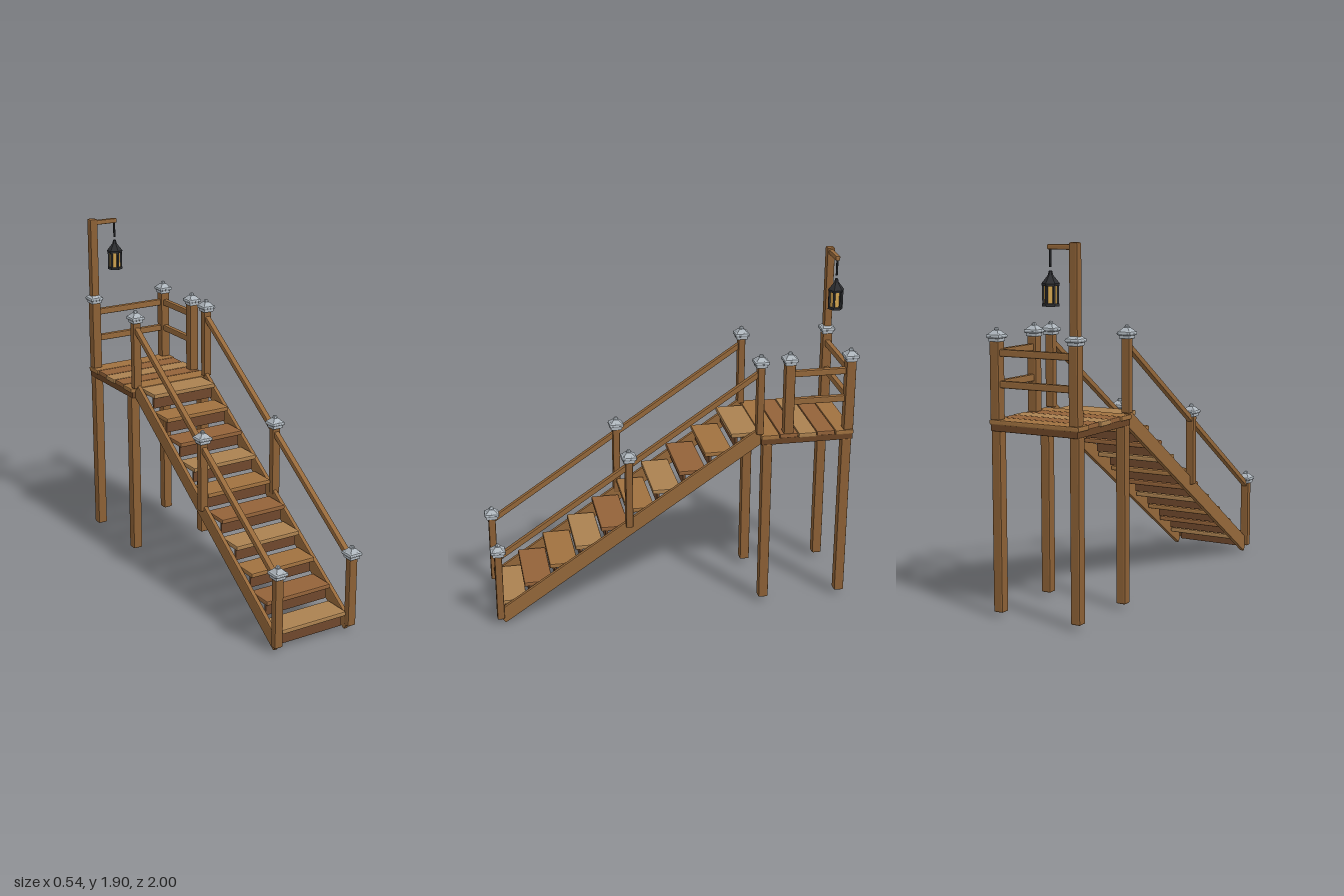
import * as THREE from 'three';
import { RoundedBoxGeometry } from 'three/addons/geometries/RoundedBoxGeometry.js';

const mat = (color) => new THREE.MeshStandardMaterial({ color, flatShading: true });
const WOOD = mat(0x95683a), POST = mat(0x8c6035), RISER = mat(0x6f482c), FRAME = mat(0x6b4526);
const PLANKS = [mat(0xa0713f), mat(0x936239), mat(0xab8150)];
const METAL = mat(0xaeb6bd), IRON = mat(0x2c2d30), GLASS = mat(0xd6a851);

export function createModel() {
  const root = new THREE.Group();

  const add = (parent, name, geometry, material, x, y, z) => {
    const mesh = new THREE.Mesh(geometry, material);
    mesh.name = name;
    mesh.position.set(x, y, z);
    parent.add(mesh);
    return mesh;
  };
  // Timber with chamfered edges
  const beam = (name, w, h, d, x, y, z, material = WOOD, chamfer = 0.006) =>
    add(root, name, new RoundedBoxGeometry(w, h, d, 1, chamfer), material, x, y, z);
  // Sloping timber between two points in the side plane
  const slope = (name, w, h, x, z0, y0, z1, y1) => {
    const m = beam(name, w, h, Math.hypot(z1 - z0, y1 - y0), x, (y0 + y1) / 2, (z0 + z1) / 2);
    m.rotation.x = Math.atan2(y1 - y0, z0 - z1);
  };
  // Metal post cap: flared plate, pyramid and knob
  const cap = (x, y, z) => {
    const g = new THREE.Group();
    g.name = 'postCap';
    g.position.set(x, y, z);
    add(g, 'capCollar', new RoundedBoxGeometry(0.062, 0.02, 0.062, 1, 0.004), METAL, 0, 0.002, 0);
    add(g, 'capPlate', new RoundedBoxGeometry(0.082, 0.022, 0.082, 1, 0.01), METAL, 0, 0.019, 0);
    const top = new THREE.CylinderGeometry(0.018, 0.046, 0.02, 4).rotateY(Math.PI / 4);
    add(g, 'capPyramid', top, METAL, 0, 0.038, 0);
    add(g, 'capKnob', new THREE.SphereGeometry(0.014, 8, 5), METAL, 0, 0.05, 0);
    root.add(g);
  };
  const post = (name, w, d, x, z, y0, y1) => beam(name, w, y1 - y0, d, x, (y0 + y1) / 2, z, POST, 0.008);

  // Steps with risers set back under each nosing
  const RUN = 0.1425, RISE = 0.0993;
  for (let i = 0; i < 10; i++) {
    const top = 0.122 + RISE * i, front = 0.97 - RUN * i;
    beam('tread', 0.4, 0.026, 0.155, 0, top - 0.013, front - 0.0775, PLANKS[(i * 2 + 2) % 3], 0.007);
    beam('riser', 0.38, 0.07, 0.014, 0, top - 0.055, front - 0.032, RISER, 0.002);
  }

  // Stringers, stair posts and handrails on both sides
  for (const s of [-1, 1]) {
    slope('stringer', 0.025, 0.083, s * 0.2225, 0.963, 0.036, -0.467, 1.006);
    slope('handrail', 0.032, 0.03, s * 0.23, 0.965, 0.404, -0.46, 1.372);
    for (const [z, y] of [[0.965, 0.035], [0.25, 0.53], [-0.46, 1.02]]) {
      const top = z > 0.9 ? 0.42 : y + 0.385;
      post('stairPost', 0.05, 0.04, s * 0.23, z, y, top);
      cap(s * 0.23, top + 0.006, z);
    }
    // Platform legs
    for (const z of [-0.502, -0.942]) post('platformLeg', 0.055, 0.055, s * 0.23, z, 0.03, 0.965);
  }

  // Platform: base with boards on top
  beam('platformBase', 0.51, 0.038, 0.508, 0, 0.979, -0.722, FRAME, 0.004);
  for (let i = 0; i < 5; i++)
    beam('platformBoard', i % 2 ? 0.51 : 0.525, 0.026, 0.1, 0, 1.005, -0.517 - i * 0.1028, PLANKS[[0, 1, 2, 1, 0][i]]);

  // Platform guard on the back and one side
  for (const [x, z] of [[0.23, -0.617], [0.23, -0.95]]) {
    post('guardPost', 0.055, 0.055, x, z, 1.015, 1.41);
    cap(x, 1.415, z);
  }
  for (const y of [1.195, 1.352]) {
    beam('sideRail', 0.03, 0.036, 0.31, 0.23, y, -0.785);
    beam('backRail', 0.43, 0.036, 0.03, 0, y, -0.95);
  }

  // Tall lamp post with its arm
  post('lampPostBase', 0.055, 0.055, -0.23, -0.95, 1.015, 1.41);
  post('lampPost', 0.048, 0.044, -0.23, -0.95, 1.4, 1.9);
  cap(-0.23, 1.415, -0.95);
  beam('lampArm', 0.155, 0.026, 0.026, -0.155, 1.877, -0.95);

  // Hanging six-sided lantern
  const lantern = new THREE.Group();
  lantern.name = 'lantern';
  lantern.position.set(-0.09, 0, -0.95);
  const hex = (name, r1, r0, y0, y1, m = IRON) =>
    add(lantern, name, new THREE.CylinderGeometry(r1, r0, y1 - y0, 6), m, 0, (y0 + y1) / 2, 0);
  hex('lanternHanger', 0.006, 0.006, 1.78, 1.868);
  hex('lanternBase', 0.042, 0.042, 1.592, 1.606);
  hex('lanternGlass', 0.034, 0.034, 1.606, 1.695, GLASS);
  hex('lanternEave', 0.045, 0.042, 1.69, 1.702);
  hex('lanternRoof', 0.013, 0.044, 1.702, 1.742);
  hex('lanternFinial', 0.008, 0.013, 1.742, 1.762);
  for (let i = 0; i < 6; i++) {
    const a = (i * Math.PI) / 3;
    const bar = add(lantern, 'lanternBar', new THREE.BoxGeometry(0.011, 0.09, 0.011), IRON,
      Math.sin(a) * 0.035, 1.65, Math.cos(a) * 0.035);
    bar.rotation.y = a;
  }
  root.add(lantern);

  return root;
}
